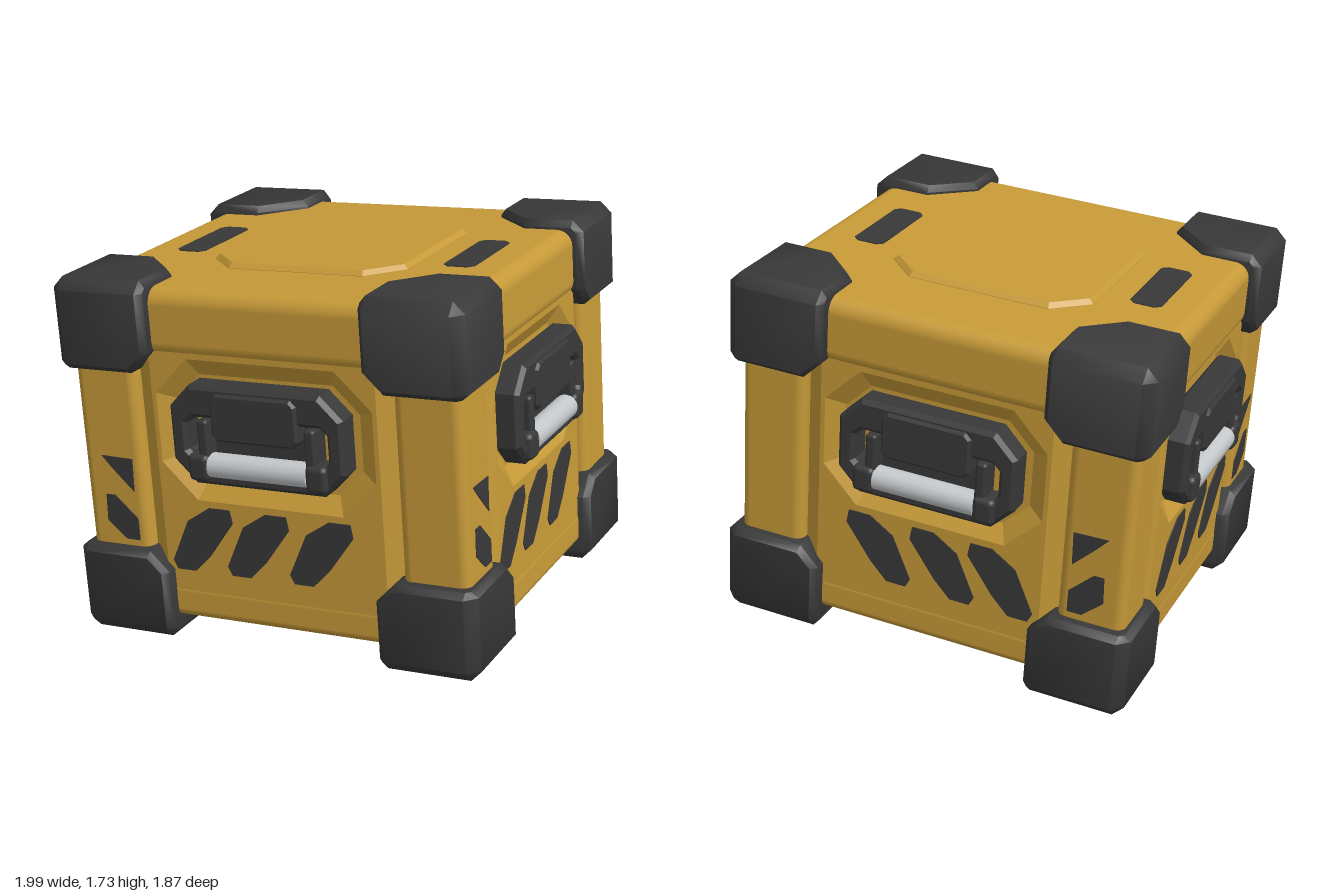
import * as THREE from 'three';
import { toCreasedNormals } from 'three/addons/utils/BufferGeometryUtils.js';
import { RoundedBoxGeometry } from 'three/addons/geometries/RoundedBoxGeometry.js';
import { ConvexGeometry } from 'three/addons/geometries/ConvexGeometry.js';

const material = (name, color) => {
  const m = new THREE.MeshStandardMaterial({ color });
  m.name = name;
  return m;
};

// Crate half sizes: posts (HX, HZ) and the outer reach of the corner caps
const HX = 0.9, HZ = 0.845, TOP = 0.765, BOTTOM = -0.72;
const CAP_REACH = [0.945, 0.805, 0.91];
const CAP_HALF = [0.225, 0.2, 0.225];

// Rectangle with cut corners as an anticlockwise list of points
function octagon(x0, x1, y0, y1, c) {
  return [[x0 + c, y0], [x1 - c, y0], [x1, y0 + c], [x1, y1 - c],
    [x1 - c, y1], [x0 + c, y1], [x0, y1 - c], [x0, y0 + c]]
    .map(([x, y]) => new THREE.Vector2(x, y));
}

// Extruded plate with its front at z = 0 and a bevel sloping backwards
function plate(points, hole, depth, bevel = 0, slope = bevel) {
  const shape = new THREE.Shape(points);
  if (hole) shape.holes.push(new THREE.Path(hole));
  const geo = new THREE.ExtrudeGeometry(shape, {
    depth: depth - 2 * bevel, bevelEnabled: bevel > 0, bevelThickness: bevel,
    bevelSize: slope, bevelSegments: 1,
  });
  return geo.translate(0, 0, bevel - depth);
}

// Convex corner cap: three cut-cornered outer faces, joined by chamfers
function capGeometry(signs) {
  const points = [];
  const e = 0.05;
  for (let k = 0; k < 3; k++) {
    const a = (k + 1) % 3, b = (k + 2) % 3;
    const cut = k === 1 ? 0.18 : 0.09;
    for (const [depth, inset] of [[0, 0.025], [0.03, 0], [0.13, 0]]) {
      const A = CAP_HALF[a], B = CAP_HALF[b];
      const outline = [[A - e, B - e], [A - e, inset - B], [cut - A, inset - B],
        [inset - A, cut - B], [inset - A, B - e]];
      for (const [u, v] of outline) {
        const p = [0, 0, 0];
        p[k] = CAP_HALF[k] - depth;
        p[a] = u;
        p[b] = v;
        points.push(new THREE.Vector3(...p.map((q, i) =>
          signs[i] * (q + CAP_REACH[i] - CAP_HALF[i]))));
      }
    }
  }
  return toCreasedNormals(new ConvexGeometry(points), 0.85);
}

export function createModel() {
  const yellow = material('yellow shell', 0xc79a38);
  const dark = material('dark rubber', 0x383838);
  const silver = material('silver grip', 0xc4c8cb);

  const add = (parent, name, geo, mat, x = 0, y = 0, z = 0) => {
    const m = new THREE.Mesh(geo, mat);
    m.name = name;
    m.position.set(x, y, z);
    parent.add(m);
    return m;
  };

  // The whole crate leans slightly to one side
  const model = new THREE.Group();
  model.name = 'crate';
  const crate = new THREE.Group();
  crate.name = 'leaningCrate';
  crate.rotation.z = 0.07;
  crate.position.y = 0.868;
  model.add(crate);

  // Core, corner posts and the top and bottom slabs
  add(crate, 'core', new THREE.BoxGeometry(2 * HX - 0.12, 1.4, 2 * HZ - 0.12), yellow);
  for (const sx of [-1, 1]) for (const sz of [-1, 1]) {
    add(crate, 'cornerPost', new RoundedBoxGeometry(0.3, 1.4, 0.285, 3, 0.045), yellow,
      sx * (HX - 0.15), 0.02, sz * (HZ - 0.1425));
    for (const sy of [-1, 1]) add(crate, 'cornerCap', capGeometry([sx, sy, sz]), dark);
  }
  const topBeam = new RoundedBoxGeometry(2 * HX, 0.3, 2 * HZ, 4, 0.07);
  add(crate, 'topSlab', topBeam, yellow, 0, TOP - 0.15, 0);
  const base = new RoundedBoxGeometry(2 * HX - 0.02, 0.16, 2 * HZ - 0.02, 3, 0.04);
  add(crate, 'bottomSlab', base, yellow, 0, BOTTOM + 0.08, 0);

  // Lid: raised octagonal panel and two dark strips
  const lid = new THREE.Group();
  lid.name = 'lid';
  lid.rotation.x = -Math.PI / 2;
  lid.position.y = TOP;
  crate.add(lid);
  add(lid, 'lidPanel', plate(octagon(-0.44, 0.44, -0.44, 0.44, 0.13), null, 0.06, 0.02), yellow, 0, 0, 0.022);
  for (const s of [-1, 1]) {
    add(lid, 'lidStrip', plate(octagon(-0.07, 0.07, -0.22, 0.22, 0.025), null, 0.008), dark, s * 0.645, -0.01, 0.005);
  }

  // Painted marks
  const toPoints = (list, flip) => {
    const p = list.map(([x, y]) => new THREE.Vector2(x * flip, y));
    return flip < 0 ? p.reverse() : p;
  };
  const stripe = [[-0.16, -0.11], [-0.14, -0.15], [-0.05, -0.15], [0.03, -0.07],
    [0.15, 0.09], [0.14, 0.15], [0.04, 0.15], [-0.07, 0.08]];
  const upperMark = [[-0.08, 0.075], [-0.03, 0.02], [0.07, -0.08], [0.075, 0.07]];
  const lowerMark = [[-0.08, -0.02], [0.01, -0.1], [0.075, -0.1], [0.075, 0.0],
    [-0.03, 0.1], [-0.075, 0.1]];

  // Carrying handle, built with its back at z = 0
  function makeHandle() {
    const h = new THREE.Group();
    h.name = 'handle';
    const ring = plate(octagon(-0.385, 0.385, -0.2, 0.2, 0.09),
      octagon(-0.345, 0.345, -0.115, 0.095, 0.04), 0.125, 0.018);
    add(h, 'handleFrame', ring, dark, 0, 0, 0.125);
    add(h, 'handleBack', new THREE.BoxGeometry(0.53, 0.24, 0.05), dark, 0, 0, 0.035);
    add(h, 'handleLatch', plate(octagon(-0.19, 0.19, -0.005, 0.18, 0.02), null, 0.12, 0.012), dark, 0, 0, 0.137);
    for (const s of [-1, 1]) {
      add(h, 'handleBracket', new RoundedBoxGeometry(0.05, 0.18, 0.1, 2, 0.015), dark, s * 0.25, -0.02, 0.08);
      add(h, 'gripEnd', new RoundedBoxGeometry(0.1, 0.12, 0.12, 2, 0.025), dark, s * 0.275, -0.14, 0.088);
    }
    const grip = new THREE.CylinderGeometry(0.054, 0.054, 0.46, 16).rotateZ(Math.PI / 2);
    add(h, 'grip', grip, silver, 0, -0.135, 0.096);
    return h;
  }

  // Four sides: [name, turn, outer distance, panel half width, stripe lean, mark side]
  const sides = [
    ['frontSide', 0, HZ, 0.6, 1, 1],
    ['rightSide', Math.PI / 2, HX, 0.56, 1, 1],
    ['backSide', Math.PI, HZ, 0.6, -1, -1],
    ['leftSide', -Math.PI / 2, HX, 0.56, 1, -1],
  ];
  for (const [name, turn, out, half, lean, markSide] of sides) {
    const side = new THREE.Group();
    side.name = name;
    side.rotation.y = turn;
    crate.add(side);

    // Panel with a sloped octagonal recess behind the handle
    const w = half - 0.075;
    const panel = plate(octagon(-w, w, -0.62, 0.6, 0.02),
      octagon(-w + 0.02, w - 0.02, -0.16, 0.47, 0.16), 0.14, 0.05, 0.08);
    add(side, 'sidePanel', panel, yellow, 0, 0, out - 0.012);

    const handle = makeHandle();
    handle.position.set(0, 0.165, out - 0.062);
    side.add(handle);

    for (const x of [-0.335, -0.065, 0.235]) {
      add(side, 'hazardStripe', plate(toPoints(stripe, lean), null, 0.008), dark,
        x * markSide, -0.34, out - 0.007);
    }
    const postX = -(half + 0.125) * markSide;
    add(side, 'upperPostMark', plate(toPoints(upperMark, markSide), null, 0.008), dark, postX, -0.07, out + 0.004);
    add(side, 'lowerPostMark', plate(toPoints(lowerMark, markSide), null, 0.008), dark, postX, -0.275, out + 0.004);
  }
  return model;
}
